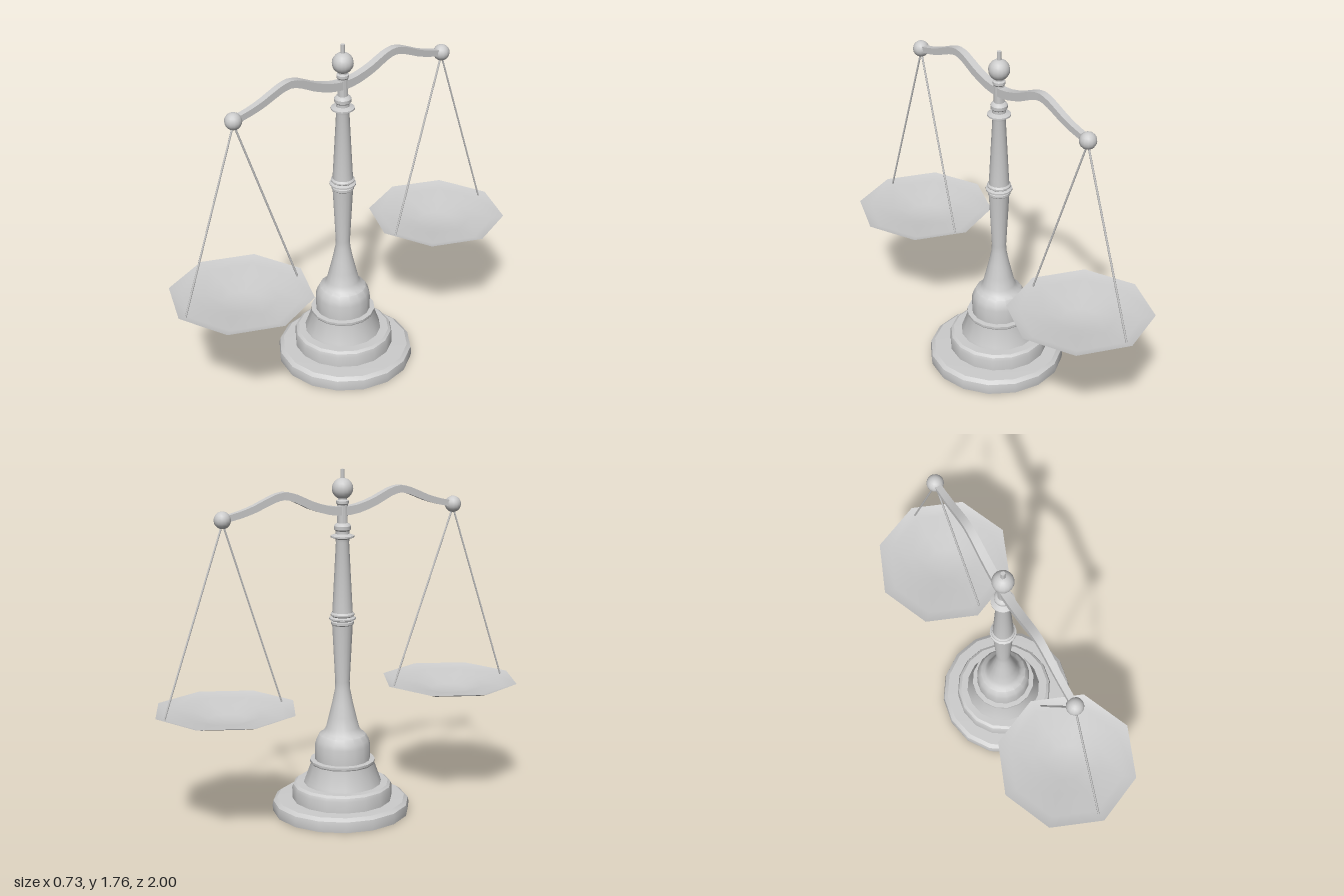
import * as THREE from 'three';
import { toCreasedNormals } from 'three/addons/utils/BufferGeometryUtils.js';

const metal = new THREE.MeshStandardMaterial({ color: 0xcccccc });
const thinMetal = new THREE.MeshStandardMaterial({ color: 0xcccccc, side: THREE.DoubleSide });
const AXIS = -0.005; // x of the column

function add(parent, name, geometry, x = 0, y = 0, z = 0, material = metal) {
  const mesh = new THREE.Mesh(geometry, material);
  mesh.name = name;
  mesh.position.set(x, y, z);
  parent.add(mesh);
  return mesh;
}

// Turned part from [radius, height] pairs, listed bottom to top
function turned(profile, sides = 16) {
  const points = profile.map(([r, y]) => new THREE.Vector2(r, y));
  return toCreasedNormals(new THREE.LatheGeometry(points, sides), 0.6);
}

// Thin rod between two points
function rod(parent, name, a, b, radius) {
  const mesh = add(parent, name, new THREE.CylinderGeometry(radius, radius, a.distanceTo(b), 6));
  mesh.position.copy(a).lerp(b, 0.5);
  mesh.quaternion.setFromUnitVectors(new THREE.Vector3(0, 1, 0), b.clone().sub(a).normalize());
}

// Wavy beam: a box whose vertices follow a curve and taper towards the ends
function beamGeometry() {
  const half = [[0, 1.56], [0.08, 1.568], [0.18, 1.6], [0.26, 1.638], [0.32, 1.652],
    [0.38, 1.638], [0.47, 1.6], [0.55, 1.575], [0.635, 1.557]];
  const path = [...half.slice(1).reverse().map(([z, y]) => [-z, y]), ...half];
  const curve = new THREE.CatmullRomCurve3(path.map(([z, y]) => new THREE.Vector3(0, y, z)));
  const geometry = new THREE.BoxGeometry(1, 1, 1, 1, 1, 32);
  const pos = geometry.attributes.position;
  for (let i = 0; i < pos.count; i++) {
    const t = THREE.MathUtils.clamp(pos.getZ(i) + 0.5, 0, 1);
    const p = curve.getPoint(t);
    const tangent = curve.getTangent(t);
    const taper = 1 - 0.3 * Math.abs(2 * t - 1);
    const h = pos.getY(i) * 0.044 * taper;
    pos.setXYZ(i, pos.getX(i) * 0.044 * taper, p.y + tangent.z * h, p.z - tangent.y * h);
  }
  geometry.computeVertexNormals();
  return toCreasedNormals(geometry, 0.6);
}

export function createModel() {
  const model = new THREE.Group();
  model.name = 'balanceScale';

  // Stepped base
  add(model, 'baseDisc', turned([
    [0, 0], [0.352, 0], [0.355, 0.03], [0.35, 0.055], [0.33, 0.07], [0.24, 0.073], [0, 0.073],
  ]), 0.014);
  add(model, 'baseStep', turned([
    [0.257, 0.06], [0.258, 0.13], [0.252, 0.147], [0.238, 0.157], [0.19, 0.158], [0, 0.158],
  ]));

  // Pedestal flowing into the column
  add(model, 'pedestal', turned([
    [0.202, 0.15], [0.196, 0.17], [0.163, 0.262], [0.167, 0.268], [0.167, 0.28], [0.142, 0.282],
    [0.142, 0.36], [0.135, 0.385], [0.12, 0.413], [0.1, 0.425], [0.085, 0.45], [0.07, 0.51],
    [0.053, 0.58], [0.039, 0.65], [0.037, 0.69], [0.052, 0.985],
  ]), AXIS);

  // Column with its ringed collars
  add(model, 'columnCollar', turned([
    [0.052, 0.985], [0.057, 0.99], [0.057, 1.002], [0.05, 1.006], [0.067, 1.014], [0.067, 1.022],
    [0.053, 1.028], [0.06, 1.034], [0.06, 1.042], [0.052, 1.05],
  ]), AXIS);
  add(model, 'upperColumn', turned([
    [0.052, 1.045], [0.05, 1.08], [0.033, 1.405], [0.036, 1.42], [0.059, 1.429], [0.059, 1.437],
    [0.034, 1.446], [0.034, 1.46], [0.042, 1.468], [0.043, 1.485], [0.036, 1.495], [0.026, 1.5],
    [0.026, 1.59], [0.031, 1.597], [0.031, 1.61], [0.022, 1.615], [0.02, 1.64],
  ]), AXIS);
  add(model, 'finialBall', new THREE.SphereGeometry(0.053, 16, 12), AXIS, 1.67);
  add(model, 'finialPin', new THREE.CylinderGeometry(0.011, 0.011, 0.07, 8), AXIS, 1.73);

  add(model, 'beam', beamGeometry(), AXIS);

  // Hanging pans, mirrored front and back
  const panProfile = [
    [0, 0.572], [0.095, 0.572], [0.18, 0.598], [0.3, 0.605], [0.362, 0.625],
  ].map(([r, y]) => new THREE.Vector2(r, y));
  for (const side of [1, -1]) {
    const name = side > 0 ? 'front' : 'back';
    const z = 0.637 * side;
    const hanger = new THREE.Group();
    hanger.name = name + 'Hanger';
    model.add(hanger);
    add(hanger, name + 'BeamBall', new THREE.SphereGeometry(0.042, 14, 10), AXIS, 1.555, z);
    add(hanger, name + 'Pan', new THREE.LatheGeometry(panProfile, 8), 0, 0, z, thinMetal);
    const top = new THREE.Vector3(AXIS, 1.54, z);
    rod(hanger, name + 'OuterWire', top, new THREE.Vector3(AXIS, 0.615, 0.956 * side), 0.005);
    rod(hanger, name + 'InnerWire', top, new THREE.Vector3(0.035, 0.615, 0.322 * side), 0.005);
  }
  return model;
}
